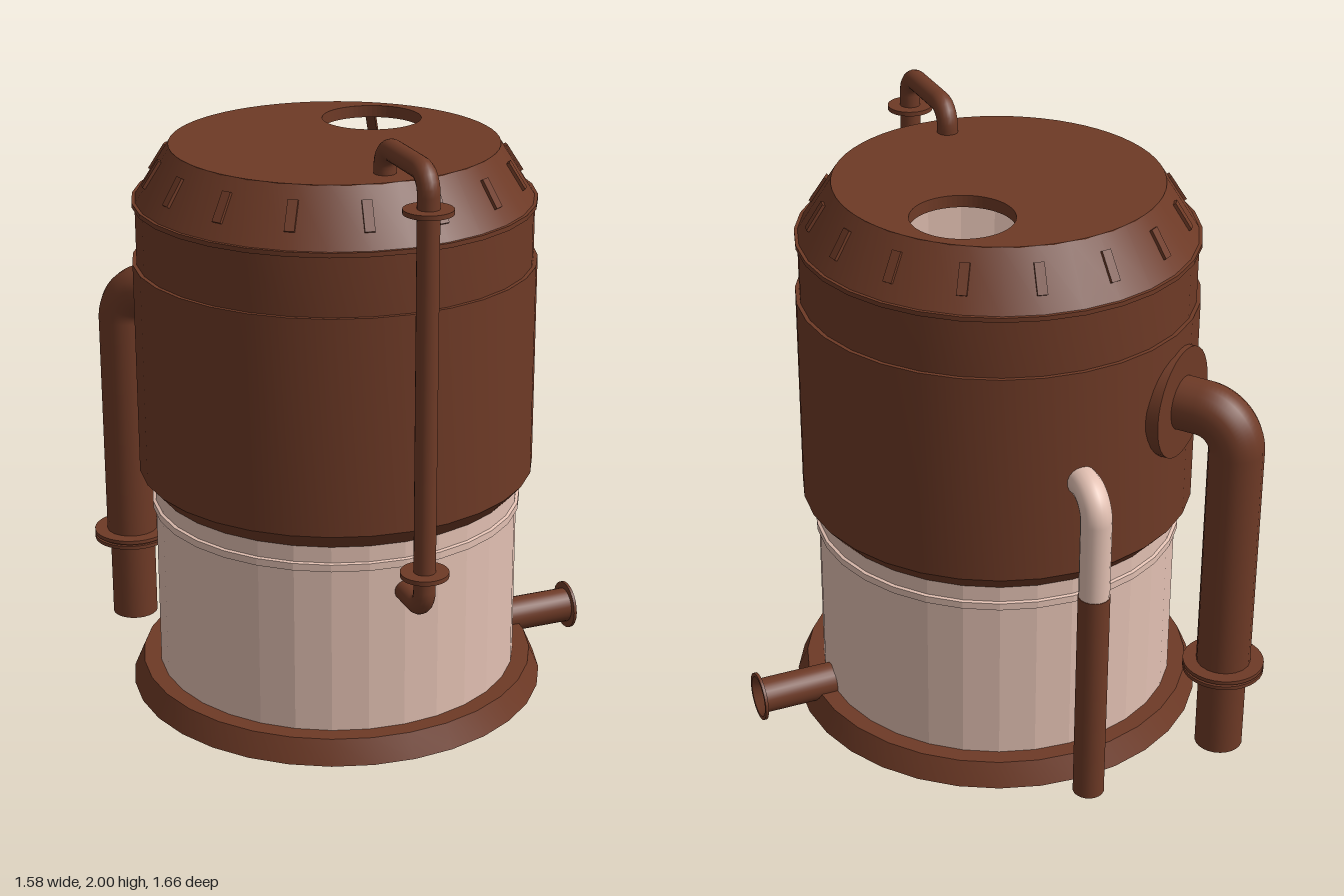
import * as THREE from 'three';
import { toCreasedNormals } from 'three/addons/utils/BufferGeometryUtils.js';

const CX = -0.09, CZ = -0.005; // tank axis

export function createModel() {
  const model = new THREE.Group();
  model.name = 'storageTank';
  const rust = new THREE.MeshStandardMaterial({ color: 0x6e3a26 });
  rust.name = 'rust brown';
  const pale = new THREE.MeshStandardMaterial({ color: 0xe2c0b2 });
  pale.name = 'pale metal';
  const paleInside = pale.clone();
  paleInside.side = THREE.BackSide;

  const add = (name, geometry, material, x = 0, y = 0, z = 0, parent = model) => {
    const mesh = new THREE.Mesh(geometry, material);
    mesh.name = name;
    mesh.position.set(x, y, z);
    parent.add(mesh);
    return mesh;
  };

  // Turned shape from [radius, height] pairs, bottom to top
  const turned = (profile, crease = 0.3, sides = 32) => toCreasedNormals(
    new THREE.LatheGeometry(profile.map(([r, y]) => new THREE.Vector2(r, y)), sides), crease);

  // Pipe along straight runs joined by round elbows
  const pipe = (points, bend, radius) => {
    const p = points.map((a) => new THREE.Vector3(...a));
    const path = new THREE.CurvePath();
    let from = p[0];
    for (let i = 1; i < p.length - 1; i++) {
      const toward = (q, d) => p[i].clone().add(q.clone().sub(p[i]).setLength(d));
      const a = toward(p[i - 1], bend), b = toward(p[i + 1], bend);
      path.add(new THREE.LineCurve3(from, a));
      path.add(new THREE.CubicBezierCurve3(a, toward(p[i - 1], bend * 0.448), toward(p[i + 1], bend * 0.448), b));
      from = b;
    }
    path.add(new THREE.LineCurve3(from, p[p.length - 1]));
    return new THREE.TubeGeometry(path, 120, radius, 18);
  };

  const disc = (r, h, sides = 32) => new THREE.CylinderGeometry(r, r, h, sides);

  // Tank body
  const tank = new THREE.Group();
  tank.name = 'tank';
  tank.position.set(CX, 0, CZ);
  model.add(tank);
  add('basePlinth', turned([[0, 0], [0.703, 0], [0.668, 0.08], [0, 0.08]]), rust, 0, 0, 0, tank);
  add('lowerShell', turned([[0.61, 0.08], [0.61, 0.735]], 0.1), pale, 0, 0, 0, tank);
  add('lowerBead', turned([[0.61, 0.645], [0.62, 0.648], [0.62, 0.672], [0.61, 0.675]], 0.1), pale, 0, 0, 0, tank);
  add('innerLiner', turned([[0.605, 0.08], [0.605, 1.755]], 0.1), paleInside, 0, 0, 0, tank);
  add('upperShell', turned([
    [0.6, 0.73], [0.612, 0.73], [0.66, 0.785], [0.66, 1.5], [0.647, 1.5], [0.647, 1.69],
    [0.656, 1.69], [0.656, 1.705], [0.645, 1.705], [0.533, 1.88],
  ]), rust, 0, 0, 0, tank);

  // Lid with round hatch opening
  const lid = new THREE.Shape().absarc(0, 0, 0.533, 0, Math.PI * 2);
  lid.holes.push(new THREE.Path().absarc(0.225, 0.24, 0.165, 0, Math.PI * 2, true));
  const lidGeometry = new THREE.ExtrudeGeometry(lid, { depth: 0.04, bevelEnabled: false, curveSegments: 32 });
  lidGeometry.rotateX(-Math.PI / 2);
  add('lid', lidGeometry, rust, 0, 1.84, 0, tank);

  // Ribs around the sloping shoulder
  for (let i = 0; i < 16; i++) {
    const spoke = new THREE.Group();
    spoke.name = 'shoulderRib' + (i + 1);
    spoke.rotation.y = ((i + 0.5) / 16) * Math.PI * 2;
    tank.add(spoke);
    add('rib', new THREE.BoxGeometry(0.032, 0.1, 0.02), rust, 0, 1.795, 0.586, spoke).rotation.x = -0.569;
  }

  // Front overflow pipe with two collars
  add('frontPipe', pipe([
    [CX, 1.86, 0.42], [CX, 1.965, 0.42], [CX, 1.965, 0.757], [CX, 0.56, 0.757], [CX, 0.56, 0.57],
  ], 0.065, 0.035), rust);
  for (const y of [1.85, 0.685]) add('frontPipeCollar', disc(0.077, 0.015), rust, CX, y, 0.757);

  // Side outlet: hollow spout with flared mouth
  const spout = turned([
    [0.04, 0.12], [0.05, 0.235], [0.07, 0.268], [0.083, 0.268],
  ].reverse().reduce((list, q) => [...list, q], [[0.06, 0], [0.06, 0.258], [0.083, 0.258]])
    .concat([[0, 0.12]]), 0.4, 24);
  spout.rotateZ(-Math.PI / 2);
  add('outletSpout', spout, rust, 0.517, 0.092, 0.025);

  // Rear vent: brown riser with pale elbow
  add('ventRiser', disc(0.052, 0.76, 20), rust, CX, 0.38, -0.77);
  add('ventElbow', pipe([[CX, 0.75, -0.77], [CX, 1.12, -0.77], [CX, 1.12, -0.63]], 0.09, 0.05), pale);

  // Rear corner downpipe with wall plate and double flange
  const drain = new THREE.Group();
  drain.name = 'downpipe';
  drain.position.set(CX, 0, CZ);
  drain.rotation.y = Math.atan2(-0.525, -0.69);
  model.add(drain);
  const reach = 0.867;
  add('downpipeElbow', pipe([[0, 1.25, 0.62], [0, 1.25, reach], [0, 0.3, reach]], 0.12, 0.09), rust, 0, 0, 0, drain);
  add('downpipeFoot', disc(0.08, 0.32, 24), rust, 0, 0.16, reach, drain);
  for (const y of [0.304, 0.324]) add('downpipeFlange', disc(0.135, 0.013), rust, 0, y, reach, drain);
  add('flangeGasket', disc(0.125, 0.02), rust, 0, 0.314, reach, drain);
  add('wallPlate', disc(0.185, 0.05), rust, 0, 1.25, 0.65, drain).rotation.x = Math.PI / 2;

  return model;
}
